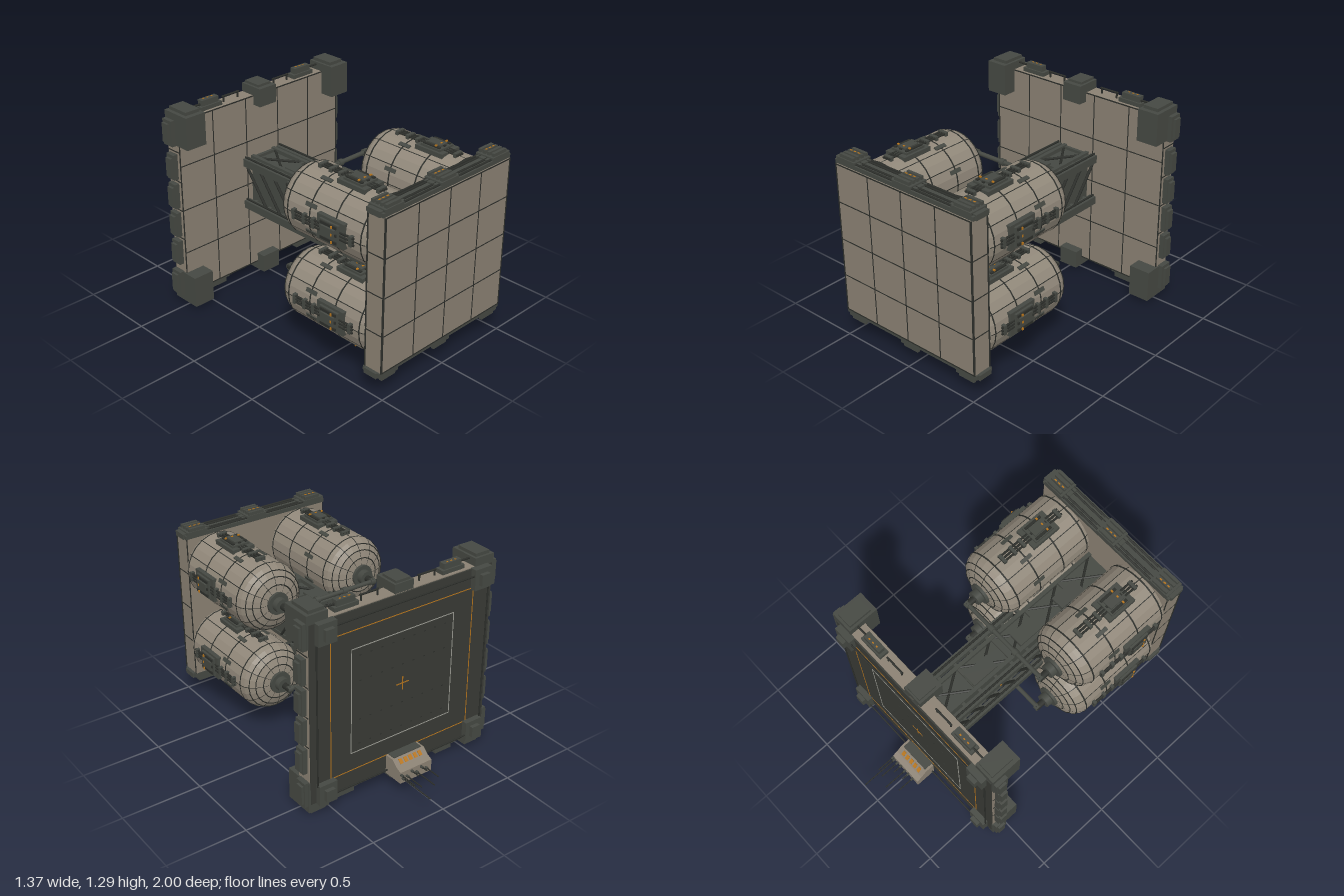
import * as THREE from 'three';

const mat = (name, color, side = THREE.FrontSide) => {
  const m = new THREE.MeshStandardMaterial({ color, side });
  m.name = name;
  return m;
};

export function createModel() {
  const hull = mat('hull panel', 0x8a8072);
  const tankSkin = mat('tank skin', 0x91887a);
  tankSkin.flatShading = true;
  const dark = mat('dark machinery', 0x454842);
  const seam = mat('seam', 0x2c2e2a, THREE.DoubleSide);
  const board = mat('landing board', 0x383a35);
  const orange = mat('orange marking', 0xb5741c);
  const pale = mat('pale marking', 0x9a9a92);

  const root = new THREE.Group();
  root.name = 'station';
  const group = (name, parent = root) => {
    const g = new THREE.Group();
    g.name = name;
    parent.add(g);
    return g;
  };
  const add = (parent, name, geo, m) => {
    const mesh = new THREE.Mesh(geo, m);
    mesh.name = name;
    parent.add(mesh);
    return mesh;
  };
  // box given by its limits on each axis
  const box = (p, name, m, x0, x1, y0, y1, z0, z1) => {
    const b = add(p, name, new THREE.BoxGeometry(Math.abs(x1 - x0), Math.abs(y1 - y0), Math.abs(z1 - z0)), m);
    b.position.set((x0 + x1) / 2, (y0 + y1) / 2, (z0 + z1) / 2);
    return b;
  };
  // straight rod between two points
  const rod = (p, name, m, a, b, r, sides = 6) => {
    const A = new THREE.Vector3(...a), B = new THREE.Vector3(...b), d = B.clone().sub(A);
    const c = add(p, name, new THREE.CylinderGeometry(r, r, d.length(), sides), m);
    c.position.copy(A).add(B).multiplyScalar(0.5);
    c.quaternion.setFromUnitVectors(new THREE.Vector3(0, 1, 0), d.normalize());
  };
  // rectangular line marking on a plane of constant z
  const frame = (p, name, m, hx, hy, cy, z, w) => {
    for (const s of [-1, 1]) {
      box(p, name, m, -hx, hx, cy + s * hy - w, cy + s * hy + w, z - 0.001, z + 0.001);
      box(p, name, m, s * hx - w, s * hx + w, cy - hy, cy + hy, z - 0.001, z + 0.001);
    }
  };
  // evenly spaced panel seams on a rectangle facing +z
  const seams = (p, hx, hy, cy, z, cols, rows) => {
    for (let i = 1; i < cols; i++) {
      const x = -hx + (2 * hx * i) / cols;
      box(p, 'verticalSeam', seam, x - 0.003, x + 0.003, cy - hy, cy + hy, z - 0.002, z + 0.002);
    }
    for (let i = 1; i < rows; i++) {
      const y = cy - hy + (2 * hy * i) / rows;
      box(p, 'horizontalSeam', seam, -hx, hx, y - 0.003, y + 0.003, z - 0.002, z + 0.002);
    }
  };
  const CY = 0.655;

  // Front shield slab
  const slab = group('frontShield');
  box(slab, 'shieldSlab', hull, -0.505, 0.505, 0.18, 1.13, 0.865, 0.993);
  seams(slab, 0.505, 0.475, CY, 0.993, 4, 4);
  frame(slab, 'shieldEdge', seam, 0.502, 0.472, CY, 0.993, 0.004);
  for (const s of [-1, 1]) {
    for (const z of [0.87, 0.99]) rod(slab, 'edgeBead', seam, [s * 0.505, 0.18, z], [s * 0.505, 1.13, z], 0.005);
    for (let i = 1; i < 4; i++) {
      const y = 0.18 + 0.2375 * i;
      box(slab, 'sideSeam', seam, s * 0.503, s * 0.507, y - 0.003, y + 0.003, 0.865, 0.993);
    }
    // machinery rails along the top and bottom edges
    const Y = d => CY + s * (0.475 + d);
    box(slab, 'edgeRail', dark, -0.515, 0.515, Y(0), Y(0.025), 0.865, 0.985);
    for (const z of [0.88, 0.9, 0.945, 0.97]) rod(slab, 'conduit', seam, [-0.5, Y(0.028), z], [0.5, Y(0.028), z], 0.007);
    for (const x of [-0.43, 0, 0.43]) {
      box(slab, 'edgeHousing', dark, x - 0.07, x + 0.07, Y(0), Y(0.042), 0.865, 0.985);
      box(slab, 'edgeCap', dark, x - 0.095, x + 0.095, Y(0), Y(0.034), 0.88, 0.97);
      for (let k = 0; k < 4; k++) box(slab, 'edgeRib', dark, x - 0.055, x + 0.055, Y(0.04), Y(0.062), 0.87 + k * 0.03, 0.888 + k * 0.03);
      for (let k = 0; k < 3; k++) box(slab, 'edgeLamp', orange, x - 0.012 + 0.03 * (k - 1), x + 0.004 + 0.03 * (k - 1), Y(0.06), Y(0.064), 0.905, 0.913);
    }
  }

  // Storage tanks: lathed shell, seams, rings, nozzle and service modules
  const profile = [[0.205, -0.87], [0.213, -0.84], [0.213, -0.29], [0.205, -0.258], [0.187, -0.23], [0.155, -0.205], [0.11, -0.188], [0.05, -0.18]];
  const shell = (grow, segs, start, len) => new THREE.LatheGeometry(
    profile.map(([r, y]) => new THREE.Vector2(r + grow, y + grow)), segs, start, len).rotateX(-Math.PI / 2);
  const serviceModule = (parent, angle) => {
    const g = group('serviceModule', parent);
    g.rotation.z = angle;
    box(g, 'moduleBase', dark, -0.075, 0.075, 0.195, 0.225, 0.53, 0.73);
    box(g, 'moduleBody', dark, -0.06, 0.06, 0.2, 0.238, 0.56, 0.7);
    box(g, 'moduleCap', dark, -0.03, 0.03, 0.23, 0.25, 0.58, 0.68);
    for (const x of [-0.045, 0, 0.045]) {
      box(g, 'moduleFin', seam, x - 0.008, x + 0.008, 0.23, 0.246, 0.57, 0.69);
      box(g, 'moduleLamp', orange, x - 0.007, x + 0.007, 0.238, 0.253, 0.655, 0.665);
    }
    for (const x of [-0.02, 0, 0.02]) rod(g, 'serviceRail', seam, [x, 0.224, 0.34], [x, 0.224, 0.8], 0.007);
    for (const z of [0.35, 0.43, 0.5, 0.78]) box(g, 'railClamp', dark, -0.03, 0.03, 0.205, 0.234, z - 0.01, z + 0.01);
  };
  for (const sx of [-1, 1]) for (const y of [0.385, 0.925]) {
    const tank = group('tank');
    tank.position.set(sx * 0.31, y, 0);
    add(tank, 'tankShell', shell(0, 24, 0, Math.PI * 2), tankSkin);
    for (let i = 0; i < 12; i++) add(tank, 'tankSeam', shell(0.0025, 1, (i * Math.PI) / 6 - 0.012, 0.024), seam);
    for (const z of [0.84, 0.65, 0.46, 0.29]) {
      const ring = add(tank, 'tankRing', new THREE.CylinderGeometry(0.216, 0.216, 0.01, 24, 1, true), seam);
      ring.rotation.x = Math.PI / 2;
      ring.position.z = z;
    }
    for (const [r, z] of [[0.189, 0.23], [0.157, 0.205], [0.112, 0.188]])
      add(tank, 'domeSeam', new THREE.TorusGeometry(r, 0.0035, 4, 24), seam).position.z = z;
    for (let i = 0; i < 8; i++) {
      const a = (i + 0.5) * Math.PI / 4;
      const strap = box(tank, 'tankStrap', dark, -0.012, 0.012, -0.006, 0.006, 0.42, 0.5);
      strap.position.x = Math.cos(a) * 0.212;
      strap.position.y = Math.sin(a) * 0.212;
      strap.rotation.z = a - Math.PI / 2;
    }
    // nozzle
    rod(tank, 'nozzleBase', dark, [0, 0, 0.2], [0, 0, 0.165], 0.07, 16);
    rod(tank, 'nozzleCollar', dark, [0, 0, 0.17], [0, 0, 0.125], 0.045, 16);
    rod(tank, 'nozzleTip', seam, [0, 0, 0.13], [0, 0, 0.065], 0.02, 10);
    [0, Math.PI, -sx * Math.PI / 2].forEach(a => serviceModule(tank, a));
  }
  // pipes joining each pair of nozzles
  for (const y of [0.385, 0.925]) {
    rod(root, 'crossPipe', dark, [-0.32, y, 0.075], [0.32, y, 0.075], 0.014, 8);
    for (const x of [-0.31, -0.1, 0.1, 0.31]) rod(root, 'pipeFlange', dark, [x - 0.015, y, 0.075], [x + 0.015, y, 0.075], 0.022, 8);
  }

  // Central spine truss
  const spine = group('spine');
  box(spine, 'spineCore', dark, -0.09, 0.09, 0.52, 0.82, -0.5, 0.87);
  for (const s of [-1, 1]) {
    for (const y of [0.53, 0.815]) {
      box(spine, 'sideChord', dark, s * 0.115, s * 0.16, y - 0.025, y + 0.025, -0.5, 0.26);
      rod(spine, 'chordPipe', seam, [s * 0.14, y + 0.03, -0.5], [s * 0.14, y + 0.03, 0.26], 0.007);
      rod(spine, 'chordPipe', seam, [s * 0.14, y - 0.03, -0.5], [s * 0.14, y - 0.03, 0.26], 0.007);
    }
    for (let i = 0; i < 7; i++) {
      const z = 0.42 - i * 0.125;
      rod(spine, 'sideBrace', seam, [s * 0.13, 0.55, z], [s * 0.13, 0.79, z - 0.18], 0.009);
      box(spine, 'chordTie', dark, s * 0.08, s * 0.15, 0.8, 0.83, z - 0.14, z - 0.12);
      box(spine, 'chordTie', dark, s * 0.08, s * 0.15, 0.515, 0.545, z - 0.14, z - 0.12);
    }
    // top and bottom faces with edge beams, crossed braces and hatches
    const Y = d => 0.67 + s * (0.15 + d);
    for (const x of [-0.085, 0.085]) box(spine, 'edgeBeam', dark, x - 0.012, x + 0.012, Y(0), Y(0.025), -0.5, 0.87);
    for (let i = 0; i < 5; i++) {
      const z = -0.48 + i * 0.27;
      rod(spine, 'crossBrace', seam, [-0.085, Y(0.008), z], [0.085, Y(0.008), z + 0.25], 0.008);
      rod(spine, 'crossBrace', seam, [0.085, Y(0.008), z], [-0.085, Y(0.008), z + 0.25], 0.008);
      box(spine, 'crossTie', dark, -0.085, 0.085, Y(0), Y(0.018), z - 0.015, z + 0.005);
    }
    for (const z of [-0.13, 0.24, 0.58]) box(spine, 'hatch', dark, -0.07, 0.025, Y(0), Y(0.03), z - 0.09, z + 0.09);
    box(spine, 'spineLamp', orange, s * 0.13, s * 0.164, 0.81, 0.818, -0.1, -0.09);
  }

  // Rear landing plate
  const plate = group('rearPlate');
  box(plate, 'plateBody', hull, -0.64, 0.64, 0.08, 1.23, -0.6, -0.5);
  seams(plate, 0.64, 0.575, CY, -0.5, 5, 4);
  frame(plate, 'plateEdge', seam, 0.637, 0.572, CY, -0.5, 0.004);
  box(plate, 'landingBoard', board, -0.635, 0.635, 0.085, 1.225, -0.609, -0.6);
  frame(plate, 'outerMarking', orange, 0.5, 0.45, CY, -0.61, 0.0025);
  frame(plate, 'innerMarking', pale, 0.36, 0.335, CY, -0.61, 0.0025);
  box(plate, 'centreMark', orange, -0.045, 0.045, CY - 0.003, CY + 0.003, -0.611, -0.609);
  box(plate, 'centreMark', orange, -0.003, 0.003, CY - 0.045, CY + 0.045, -0.611, -0.609);
  for (let i = 0; i < 9; i++) for (const y of [0.37, 0.53, 0.78, 0.94])
    box(plate, 'deckStud', seam, -0.3 + i * 0.075 - 0.006, -0.3 + i * 0.075 + 0.006, y - 0.003, y + 0.003, -0.611, -0.609);
  for (const s of [-1, 1]) {
    // side pods
    for (const y of [0.37, 0.56, 0.75, 0.94]) {
      box(plate, 'sidePod', dark, s * 0.635, s * 0.67, y - 0.08, y + 0.08, -0.585, -0.52);
      box(plate, 'sidePodCap', dark, s * 0.66, s * 0.686, y - 0.06, y + 0.06, -0.575, -0.53);
      box(plate, 'sideSeam', seam, s * 0.638, s * 0.643, y + 0.092, y + 0.098, -0.6, -0.5);
    }
    rod(plate, 'sideRail', seam, [s * 0.6, 0.2, -0.625], [s * 0.6, 1.1, -0.625], 0.005);
    const Y = d => CY + s * (0.575 + d);
    rod(plate, 'endRail', seam, [-0.5, Y(-0.04), -0.635], [0.5, Y(-0.04), -0.635], 0.005);
    // pods on the top and bottom edges
    box(plate, 'centrePod', dark, -0.065, 0.065, Y(-0.06), Y(0.055), -0.6, -0.44);
    box(plate, 'centrePodCap', dark, -0.05, 0.05, Y(0.05), Y(0.07), -0.59, -0.47);
    for (const x of [-0.37, 0.37]) {
      box(plate, 'edgePod', dark, x - 0.08, x + 0.08, Y(0), Y(0.025), -0.58, -0.52);
      box(plate, 'edgePodCap', dark, x - 0.062, x + 0.062, Y(0.02), Y(0.06), -0.57, -0.53);
      for (const k of [-0.03, 0, 0.03]) box(plate, 'podLamp', orange, x + k - 0.006, x + k + 0.006, Y(0.058), Y(0.062), -0.56, -0.552);
    }
    for (const x of [-0.2, 0.2, -0.49, 0.49]) {
      rod(plate, 'edgeHandrail', seam, [x - 0.065, Y(0.035), -0.55], [x + 0.065, Y(0.035), -0.55], 0.006);
      for (const k of [-0.055, 0.055]) rod(plate, 'handrailPost', seam, [x + k, Y(0), -0.55], [x + k, Y(0.04), -0.55], 0.006);
    }
    // corner thruster blocks
    for (const t of [-1, 1]) {
      box(plate, 'cornerBlock', dark, t * 0.51, t * 0.648, Y(-0.15), Y(0.05), -0.605, -0.41);
      box(plate, 'cornerCap', dark, t * 0.525, t * 0.625, Y(0.04), Y(0.07), -0.59, -0.44);
      box(plate, 'cornerPod', dark, t * 0.64, t * 0.672, Y(-0.155), Y(0.005), -0.6, -0.52);
      box(plate, 'cornerPodCap', dark, t * 0.665, t * 0.686, Y(-0.135), Y(-0.015), -0.59, -0.54);
      box(plate, 'rearCornerBox', dark, t * 0.48, t * 0.6, Y(-0.13), Y(0), -0.645, -0.6);
      box(plate, 'rearCornerCap', dark, t * 0.51, t * 0.57, Y(-0.1), Y(-0.03), -0.67, -0.64);
    }
  }

  // Control cabin with antennas at the foot of the rear face
  const cabin = group('controlCabin');
  box(cabin, 'cabinBase', dark, -0.1, 0.1, 0.085, 0.19, -0.64, -0.6);
  const side = new THREE.Shape([[0.62, 0.09], [0.755, 0.09], [0.755, 0.165], [0.72, 0.18], [0.68, 0.215], [0.62, 0.215]].map(p => new THREE.Vector2(...p)));
  const body = add(cabin, 'cabinBody', new THREE.ExtrudeGeometry(side, { depth: 0.23, bevelEnabled: false }), hull);
  body.rotation.y = Math.PI / 2;
  body.position.x = -0.115;
  box(cabin, 'cabinRoof', dark, -0.1, 0.1, 0.212, 0.22, -0.675, -0.62);
  for (let i = 0; i < 5; i++) {
    const x = -0.07 + i * 0.035;
    const w = box(cabin, 'cabinWindow', orange, x - 0.011, x + 0.011, 0.195, 0.201, -0.716, -0.684);
    w.rotation.x = -0.72;
  }
  for (const [x, y, z] of [[-0.07, 0.13, -0.87], [-0.035, 0.15, -0.81], [0, 0.13, -0.92], [0.035, 0.15, -0.82], [0.07, 0.13, -0.89], [0.1, 0.125, -1.0], [0.11, 0.15, -0.88]]) {
    rod(cabin, 'antenna', seam, [x, y, -0.75], [x, y, z], 0.004);
    rod(cabin, 'antennaSocket', dark, [x, y, -0.75], [x, y, -0.775], 0.008);
  }
  return root;
}
